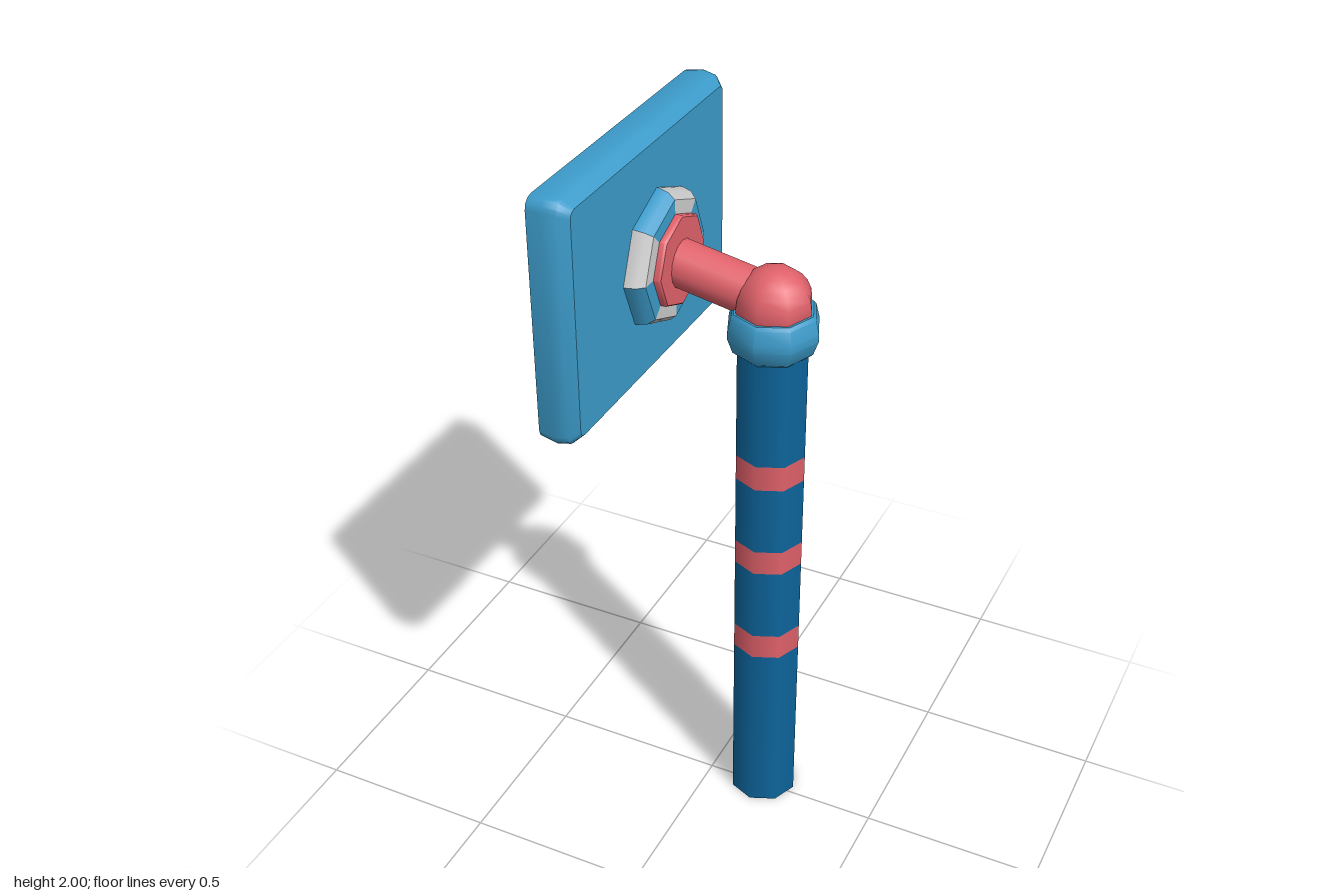
import * as THREE from 'three';
import { toCreasedNormals } from 'three/addons/utils/BufferGeometryUtils.js';

const mat = (color) => new THREE.MeshStandardMaterial({ color });
const NAVY = mat(0x0d659c), BLUE = mat(0x3c9bca), RED = mat(0xe0616a), GREY = mat(0xcccccc), OCHRE = mat(0xb59b48);
const SIDES = 8;
const POST_X = 0.157, AXIS_Z = -0.023;

function add(parent, name, geometry, material, x = 0, y = 0, z = 0) {
  const mesh = new THREE.Mesh(geometry, material);
  mesh.name = name;
  mesh.position.set(x, y, z);
  parent.add(mesh);
  return mesh;
}

const lathe = (profile, sides = SIDES, start = 0, sweep = Math.PI * 2) =>
  new THREE.LatheGeometry(profile.map(([r, y]) => new THREE.Vector2(r, y)), sides, start, sweep);

// Slab lofted along x from rounded rectangles: [x, half height, half depth, corner radius]
function slab(sections) {
  const pos = [], index = [], steps = 3, n = 4 * (steps + 1);
  for (const [x, hy, hz, r] of sections) {
    for (let c = 0; c < 4; c++) {
      const sy = c === 0 || c === 3 ? 1 : -1, sz = c < 2 ? 1 : -1;
      for (let k = 0; k <= steps; k++) {
        const a = (c + k / steps) * Math.PI / 2;
        pos.push(x, sy * (hy - r) + r * Math.cos(a), sz * (hz - r) + r * Math.sin(a));
      }
    }
  }
  const last = sections.length - 1, first = pos.length / 3;
  pos.push(sections[0][0], 0, 0, sections[last][0], 0, 0);
  for (let j = 0; j < n; j++) {
    const k = (j + 1) % n;
    for (let i = 0; i < last; i++) {
      const a = i * n + j, b = i * n + k;
      index.push(a, b, a + n, b, b + n, a + n);
    }
    index.push(first, k, j, first + 1, last * n + j, last * n + k);
  }
  const g = new THREE.BufferGeometry();
  g.setAttribute('position', new THREE.Float32BufferAttribute(pos, 3));
  g.setIndex(index);
  return toCreasedNormals(g, 0.7);
}

export function createModel() {
  const model = new THREE.Group();
  model.name = 'signPost';

  // Post, split into flush coloured bands
  const post = new THREE.Group();
  post.name = 'post';
  model.add(post);
  const levels = [0, 0.54, 0.615, 0.83, 0.902, 1.102, 1.175, 1.5];
  for (let i = 0; i < levels.length - 1; i++) {
    const h = levels[i + 1] - levels[i];
    const open = i > 0 && i < levels.length - 2;
    add(post, i % 2 ? 'postStripe' : 'postSection',
      new THREE.CylinderGeometry(0.096, 0.096, h, SIDES, 1, open),
      i % 2 ? RED : NAVY, POST_X, levels[i] + h / 2, AXIS_Z);
  }

  // Collar and ball joint on top of the post
  add(model, 'collar', toCreasedNormals(lathe([
    [0.06, 1.465], [0.088, 1.468], [0.108, 1.485], [0.122, 1.525], [0.122, 1.545], [0.113, 1.583], [0.106, 1.592], [0.08, 1.592],
  ]), 0.8), BLUE, POST_X, 0, AXIS_Z);
  add(model, 'ballJoint', new THREE.SphereGeometry(0.101, SIDES, 12), RED, POST_X, 1.603, AXIS_Z);

  // Sloping arm from the ball to the flange
  const from = new THREE.Vector3(POST_X, 1.61, AXIS_Z), to = new THREE.Vector3(-0.11, 1.66, AXIS_Z);
  const dir = to.clone().sub(from);
  const arm = add(model, 'arm', new THREE.CylinderGeometry(0.063, 0.063, dir.length(), 16), RED);
  arm.position.copy(from).addScaledVector(dir, 0.5);
  arm.quaternion.setFromUnitVectors(new THREE.Vector3(0, 1, 0), dir.normalize());

  // Flange of alternating wedges with a disc in front, facing +x
  const flange = new THREE.Group();
  flange.name = 'flange';
  flange.position.set(-0.165, 1.664, AXIS_Z);
  flange.rotation.z = -Math.PI / 2;
  model.add(flange);
  const rim = [[0.185, 0], [0.185, 0.01], [0.178, 0.035], [0.162, 0.053], [0.08, 0.055]];
  for (let i = 0; i < SIDES; i++) {
    const wedge = lathe(rim, 1, i * Math.PI / 4, Math.PI / 4);
    add(flange, 'flangeWedge', toCreasedNormals(wedge, 0.6), i % 2 ? GREY : BLUE);
  }
  add(flange, 'flangeDisc', toCreasedNormals(lathe([
    [0.122, 0.045], [0.124, 0.055], [0.124, 0.068], [0.12, 0.073], [0, 0.073],
  ]), 0.8), RED);

  // Board with softened edges, red frame and inset panel on its -x face
  const board = new THREE.Group();
  board.name = 'board';
  board.position.set(0, 1.67, 0);
  model.add(board);
  add(board, 'boardBody', slab([
    [-0.275, 0.305, 0.4, 0.02], [-0.265, 0.325, 0.42, 0.03], [-0.22, 0.33, 0.426, 0.03],
    [-0.185, 0.325, 0.42, 0.03], [-0.161, 0.303, 0.398, 0.02],
  ]), BLUE);
  add(board, 'panelFrame', slab([
    [-0.279, 0.246, 0.325, 0.04], [-0.274, 0.255, 0.335, 0.045], [-0.262, 0.255, 0.335, 0.045],
  ]), RED);
  add(board, 'panel', slab([
    [-0.282, 0.228, 0.306, 0.035], [-0.278, 0.234, 0.312, 0.04], [-0.262, 0.234, 0.312, 0.04],
  ]), OCHRE);

  return model;
}
